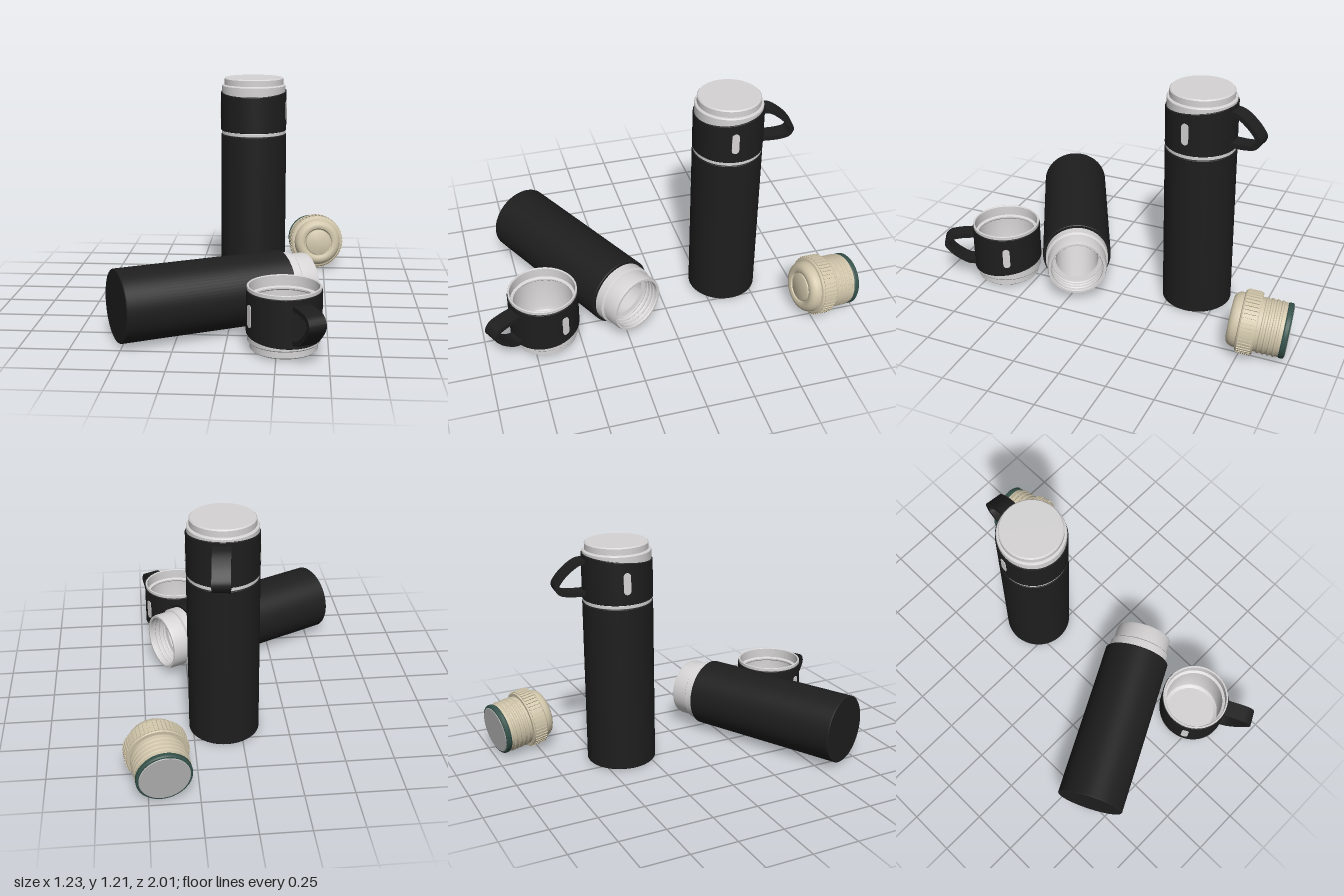
import * as THREE from 'three';
import { mergeGeometries, toCreasedNormals } from 'three/addons/utils/BufferGeometryUtils.js';

const mat = (name, color) => Object.assign(new THREE.MeshStandardMaterial({ color }), { name });
const black = mat('matte black', 0x1e1e1e);
const steel = mat('light steel', 0xd6d4d4);
const beige = mat('beige plastic', 0xd0c5aa);
const green = mat('green seal', 0x35524a);
const grey = mat('grey disc', 0xb4b4b4);

function mesh(name, geometry, material) {
  const m = new THREE.Mesh(geometry, material);
  m.name = name;
  return m;
}

function group(name, ...parts) {
  const g = new THREE.Group();
  g.name = name;
  if (parts.length) g.add(...parts);
  return g;
}

// profile of [radius, height] pairs turned about y, with crisp corners kept
function turned(points, adjust) {
  const g = new THREE.LatheGeometry(points.map(([r, y]) => new THREE.Vector2(r, y)), 72);
  if (adjust) adjust(g.attributes.position);
  return toCreasedNormals(g, 0.5);
}

// flask body with a stepped, hollow steel neck
function createBottle(name) {
  const body = turned([[0, 0], [0.18, 0], [0.184, 0.004], [0.184, 0.887], [0.181, 0.89], [0.164, 0.89]]);
  const neck = [[0.168, 0.885], [0.168, 0.938], [0.162, 0.943], [0.157, 0.945], [0.157, 1.02],
    [0.153, 1.035], [0.141, 1.035], [0.138, 1.03]];
  // inner thread ridges
  for (let i = 0; i < 3; i++) {
    const y = 1.012 - i * 0.025;
    neck.push([0.138, y], [0.133, y - 0.005], [0.133, y - 0.009], [0.138, y - 0.014]);
  }
  neck.push([0.138, 0.935], [0.115, 0.93], [0.115, 0.03], [0.1, 0.015], [0, 0.015]);
  return group(name, mesh('bottleBody', body, black), mesh('bottleNeck', turned(neck), steel));
}

// curved strap of constant thickness, swept sideways to its width
function handleGeometry() {
  const path = new THREE.CatmullRomCurve3([[0.178, 0.227], [0.215, 0.22], [0.265, 0.187], [0.307, 0.145],
    [0.328, 0.107], [0.31, 0.076], [0.26, 0.063], [0.178, 0.06]].map(([u, v]) => new THREE.Vector3(u, v, 0)));
  const outer = [], inner = [];
  for (let i = 0; i <= 40; i++) {
    const p = path.getPoint(i / 40), t = path.getTangent(i / 40);
    outer.push(new THREE.Vector2(p.x - t.y * 0.012, p.y + t.x * 0.012));
    inner.unshift(new THREE.Vector2(p.x + t.y * 0.012, p.y - t.x * 0.012));
  }
  const g = new THREE.ExtrudeGeometry(new THREE.Shape([...outer, ...inner]), { depth: 0.09, bevelEnabled: false });
  g.translate(0, 0, -0.045).rotateY(Math.PI / 2);
  return toCreasedNormals(g, 0.6);
}

// upright pill-shaped inlay on the side of the sleeve
function slotGeometry() {
  const w = 0.019, low = 0.076, high = 0.19, s = new THREE.Shape();
  s.absarc(0, high - w, w, 0, Math.PI);
  s.absarc(0, low + w, w, Math.PI, Math.PI * 2);
  s.closePath();
  const g = new THREE.ExtrudeGeometry(s, { depth: 0.006, bevelEnabled: false });
  return g.rotateY(Math.PI / 2).translate(0.181, 0, 0);
}

// cup modelled mouth-down, with its handle towards -z
function createCup(name) {
  const cup = group(name);
  cup.add(mesh('cupShell', turned([[0, 0.285], [0.135, 0.285], [0.153, 0.275], [0.16, 0.255], [0.16, 0.075],
    [0.156, 0.07], [0.156, 0.062], [0.17, 0.056], [0.17, 0.003], [0.173, 0], [0.178, 0], [0.18, 0.002], [0.18, 0.018],
    [0.178, 0.02], [0.178, 0.27], [0.174, 0.275], [0.165, 0.277], [0.165, 0.309], [0.159, 0.315], [0, 0.315]]), steel));

  // sleeve whose upper edge slopes up towards the handle
  const sleeve = turned([[0.178, 0.02], [0.182, 0.02], [0.184, 0.022], [0.184, 0.237], [0.182, 0.24], [0.177, 0.24]],
    pos => {
      for (let i = 0; i < pos.count; i++) {
        if (pos.getY(i) > 0.2) pos.setY(i, pos.getY(i) - 0.11 * pos.getZ(i));
      }
    });
  cup.add(mesh('cupSleeve', sleeve, black), mesh('cupHandle', handleGeometry(), black));

  for (const side of [0, 1]) {
    const slot = mesh(side ? 'slotRight' : 'slotLeft', slotGeometry(), steel);
    slot.rotation.y = side * Math.PI;
    cup.add(slot);
  }
  return cup;
}

// stopper, axis along y from the sealed end to the knob
function createStopper() {
  const profile = [[0.13, 0.03], [0.136, 0.034]];
  // ridged plug
  for (let i = 0; i < 4; i++) {
    const y = 0.05 + i * 0.026;
    profile.push([0.136, y], [0.141, y + 0.004], [0.141, y + 0.012], [0.136, y + 0.016]);
  }
  // collar, domed knob and recessed end
  profile.push([0.136, 0.16], [0.153, 0.16], [0.156, 0.165], [0.156, 0.24], [0.15, 0.247], [0.139, 0.25],
    [0.138, 0.262], [0.134, 0.278], [0.125, 0.291], [0.112, 0.299], [0.098, 0.301], [0.086, 0.297],
    [0.08, 0.289], [0.076, 0.289], [0.074, 0.296], [0.068, 0.299], [0, 0.299]);

  const ribs = [];
  for (let i = 0; i < 48; i++) {
    const rib = new THREE.BoxGeometry(0.012, 0.07, 0.01);
    ribs.push(rib.translate(0, 0.203, 0.156).rotateY(i * Math.PI / 24));
  }
  return group('stopper',
    mesh('stopperBody', turned(profile), beige),
    mesh('stopperGrip', mergeGeometries(ribs), beige),
    mesh('stopperSeal', turned([[0.126, 0.003], [0.134, 0.004], [0.139, 0.01], [0.139, 0.027], [0.134, 0.034], [0.12, 0.034]]), green),
    mesh('stopperDisc', turned([[0, 0], [0.124, 0], [0.128, 0.004], [0.128, 0.012]]), grey));
}

export function createModel() {
  const standing = createBottle('standingBottle');
  standing.position.set(0.085, 0.004, -0.375);

  // cup turned over as the lid of the standing bottle
  const lid = createCup('lidCup');
  lid.position.set(0.085, 0.895, -0.375);
  lid.rotation.y = -0.117;

  const lying = createBottle('lyingBottle');
  lying.position.set(-0.533, 0.194, 0.66);
  lying.rotation.set(0, 0.468, -Math.PI / 2, 'YXZ');

  const cup = createCup('uprightCup');
  cup.position.set(0.285, 0.325, 0.677);
  cup.rotation.set(Math.PI, 0.484, 0, 'YXZ');

  const stopper = createStopper();
  stopper.position.set(0.418, 0.14, -0.982);
  stopper.quaternion.setFromUnitVectors(new THREE.Vector3(0, 1, 0), new THREE.Vector3(0.168, 0.12, 0.977).normalize());

  return group('flaskSet', standing, lid, lying, cup, stopper);
}
